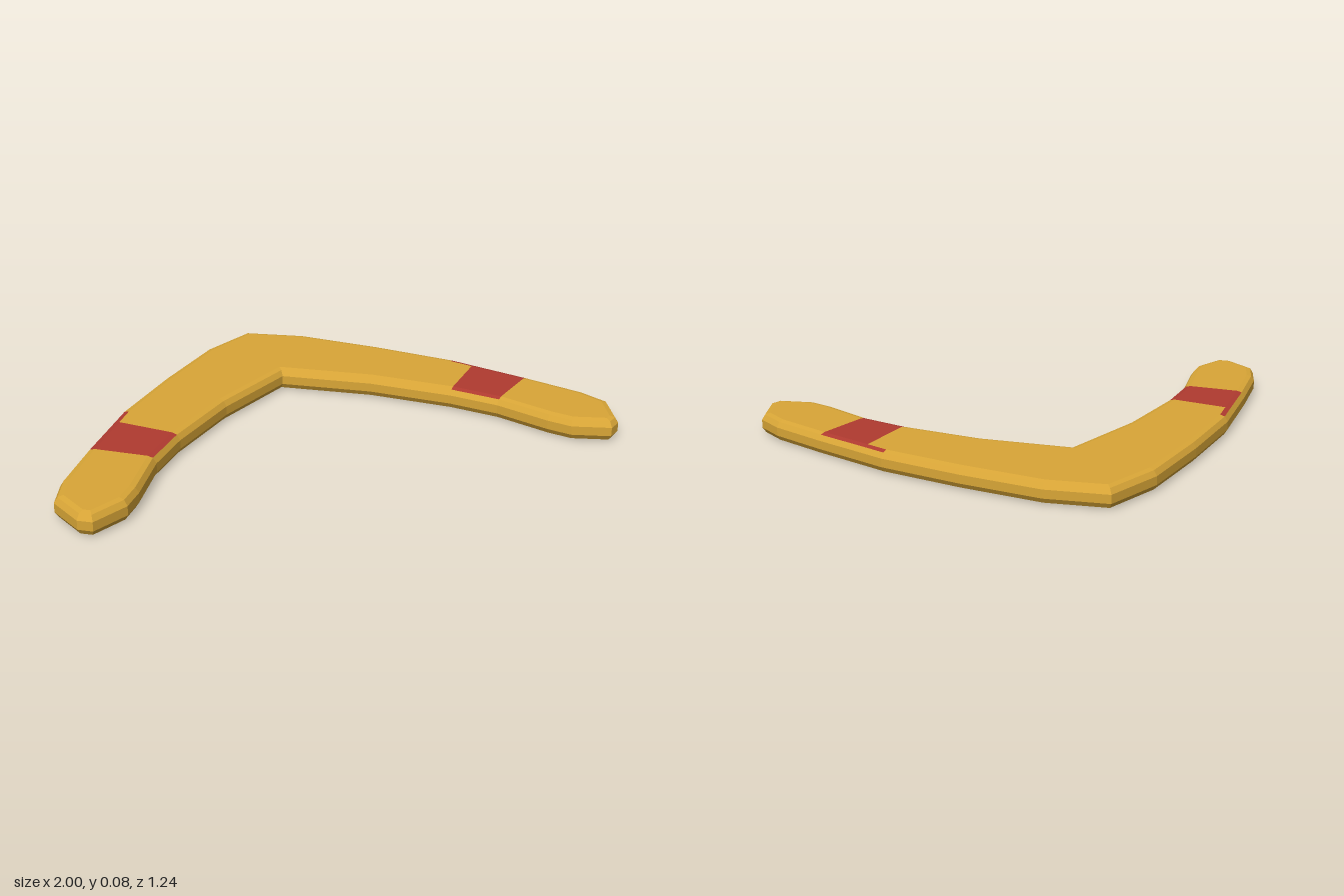
import * as THREE from 'three';

// Half outline (x, z): back corner, outer edge, rounded tip, inner edge, inner corner
const HALF = [
  [0, -0.62], [0.2, -0.51], [0.43, -0.3], [0.65, -0.075], [0.704, -0.001],
  [0.83, 0.17], [0.957, 0.355], [1, 0.46], [0.957, 0.592], [0.914, 0.62],
  [0.79, 0.56], [0.735, 0.49], [0.63, 0.315], [0.51, 0.18], [0.28, -0.02], [0, -0.2],
];

// Edge profile (inset, y) from bottom to top
const PROFILE = [[0.03, 0], [0.012, 0.005], [0, 0.024], [0, 0.056], [0.012, 0.075], [0.03, 0.08]];

// Full closed outline, the second half mirrored
const LOOP = [...HALF, ...HALF.slice(1, -1).reverse().map(([x, z]) => [-x, z])];
const N = LOOP.length;
const mirror = (i) => (N - i) % N;

// Outline moved inwards by d, with mitred corners
function insetRing(d, y) {
  return LOOP.map(([x, z], i) => {
    const p = LOOP[(i + N - 1) % N];
    const q = LOOP[(i + 1) % N];
    const n1 = new THREE.Vector2(p[1] - z, x - p[0]).normalize();
    const n2 = new THREE.Vector2(z - q[1], q[0] - x).normalize();
    const k = d / (1 + n1.dot(n2));
    return new THREE.Vector3(x + (n1.x + n2.x) * k, y, z + (n1.y + n2.y) * k);
  });
}

// Flat cap over the listed ring corners, facing up or down
function cap(out, ring, ids, up) {
  const pts = ids.map((i) => ring[i]);
  const flat = pts.map((p) => new THREE.Vector2(p.x, p.z));
  for (const [i, j, k] of THREE.ShapeUtils.triangulateShape(flat, [])) {
    const [a, b, c] = [pts[i], pts[j], pts[k]];
    const ny = b.clone().sub(a).cross(c.clone().sub(a)).y;
    out.push(...((ny > 0) === up ? [a, b, c] : [a, c, b]));
  }
}

function makeMesh(name, points, color) {
  const geometry = new THREE.BufferGeometry().setFromPoints(points);
  geometry.computeVertexNormals();
  const mesh = new THREE.Mesh(geometry, new THREE.MeshStandardMaterial({ color, flatShading: true }));
  mesh.name = name;
  return mesh;
}

export function createModel() {
  const rings = PROFILE.map(([d, y]) => insetRing(d, y));
  const body = [];
  const leftBand = [];
  const rightBand = [];

  // Rounded rim; the bevel strips next to the caps carry the painted bands
  const bandEdges = [3, 4, 12];
  const last = rings.length - 2;
  for (let r = 0; r <= last; r++) {
    for (let i = 0; i < N; i++) {
      const j = (i + 1) % N;
      let out = body;
      if (r === 0 || r === last) {
        if (bandEdges.includes(i)) out = leftBand;
        else if (bandEdges.includes(N - 1 - i)) out = rightBand;
      }
      const [la, lb, ua, ub] = [rings[r][i], rings[r][j], rings[r + 1][i], rings[r + 1][j]];
      out.push(la, ua, ub, la, ub, lb);
    }
  }

  // Top and bottom faces: middle, painted bands and tips
  const arm = [0, 1, 2, 3, 4, 13, 14, 15];
  const middle = [...arm, ...arm.slice(1, -1).reverse().map(mirror)];
  const band = [4, 5, 12, 13];
  const tip = [5, 6, 7, 8, 9, 10, 11, 12];
  for (const up of [true, false]) {
    const ring = rings[up ? rings.length - 1 : 0];
    cap(body, ring, middle, up);
    cap(body, ring, tip, up);
    cap(body, ring, tip.map(mirror), up);
    cap(leftBand, ring, band, up);
    cap(rightBand, ring, band.map(mirror), up);
  }

  const group = new THREE.Group();
  group.name = 'boomerang';
  group.add(
    makeMesh('body', body, 0xd9a637),
    makeMesh('leftBand', leftBand, 0xb03a30),
    makeMesh('rightBand', rightBand, 0xb03a30),
  );
  return group;
}
